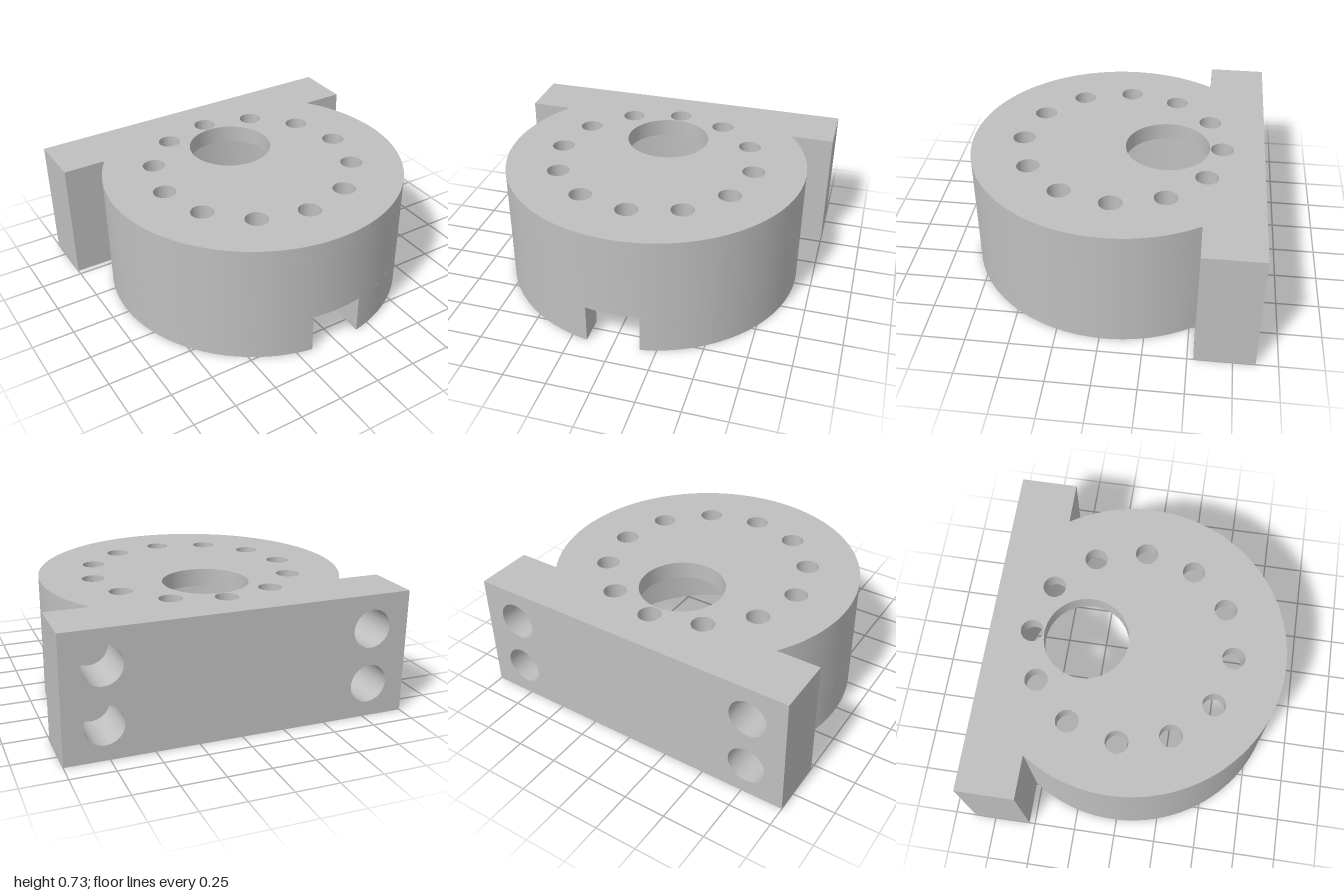
import * as THREE from 'three';
import { toCreasedNormals } from 'three/addons/utils/BufferGeometryUtils.js';

const HEIGHT = 0.73, CEILING = 0.625, SLOT_TOP = 0.235;
const CY = 0.03;                        // drum centre in plan (plan y = -z)
const R = 0.9, BORE = 0.735;            // outer and cavity radii
const BACK = 0.875, STEP = 0.535;       // mounting block, back and front in plan
const INNER = 0.6;                      // where the block ends start
const SLOT = 0.157;                     // half width of the front slot
const BOLT_DEPTH = 0.3;

const circle = (x, y, r) => new THREE.Path().absarc(x, y, r, 0, Math.PI * 2, false);

// Plan outline of the drum and middle of the block; slotted also cuts cavity and slot
function bodyOutline(slotted) {
  const a = Math.asin((STEP - CY) / R), down = -Math.PI / 2;
  const s = new THREE.Shape();
  s.moveTo(-INNER, STEP);
  s.lineTo(-INNER, BACK);
  s.lineTo(INNER, BACK);
  s.lineTo(INNER, STEP);
  s.lineTo(R * Math.cos(a), STEP);
  if (slotted) {
    const o = Math.asin(SLOT / R), i = Math.asin(SLOT / BORE);
    s.absarc(0, CY, R, a, down + o, true);
    s.absarc(0, CY, BORE, down + i, down - i + Math.PI * 2, false);
    s.absarc(0, CY, R, down - o, -Math.PI - a, true);
  } else {
    s.absarc(0, CY, R, a, -Math.PI - a, true);
  }
  s.closePath();
  return s;
}

const extrude = (shape, depth) => toCreasedNormals(
  new THREE.ExtrudeGeometry(shape, { depth, bevelEnabled: false, curveSegments: 48 }), 0.5);

export function createModel() {
  const group = new THREE.Group();
  const grey = new THREE.MeshStandardMaterial({ color: 0xbfbfbf });
  grey.name = 'grey metal';

  const add = (name, geometry) => {
    const mesh = new THREE.Mesh(geometry, grey);
    mesh.name = name;
    group.add(mesh);
    return mesh;
  };
  const layer = (name, shape, y0, y1) =>
    add(name, extrude(shape, y1 - y0).rotateX(-Math.PI / 2).translate(0, y0, 0));

  // Lower wall with the front slot, then the closed wall above it
  layer('slottedWall', bodyOutline(true), 0, SLOT_TOP);
  const wall = bodyOutline(false);
  wall.holes.push(circle(0, CY, BORE));
  layer('upperWall', wall, SLOT_TOP, CEILING);

  // Top plate with the offset opening and the ring of twelve holes
  const plate = bodyOutline(false);
  plate.holes.push(circle(0, 0.302, 0.25));
  for (let i = 0; i < 12; i++) {
    const t = i * Math.PI / 6;
    plate.holes.push(circle(0.595 * Math.cos(t), CY + 0.595 * Math.sin(t), 0.067));
  }
  layer('topPlate', plate, CEILING, HEIGHT);

  // Block ends with two blind bolt holes each, open to the back
  for (const side of [1, -1]) {
    const end = new THREE.Shape();
    end.moveTo(side * INNER, 0);
    end.lineTo(side, 0);
    end.lineTo(side, HEIGHT);
    end.lineTo(side * INNER, HEIGHT);
    end.closePath();
    for (const y of [0.2, 0.53]) end.holes.push(circle(side * 0.775, y, 0.112));
    const name = side > 0 ? 'left' : 'right';
    add(name + 'BlockEnd', extrude(end, BOLT_DEPTH).translate(0, 0, -BACK));
    const rest = BACK - STEP - BOLT_DEPTH;
    add(name + 'BlockFace', new THREE.BoxGeometry(1 - INNER, HEIGHT, rest))
      .position.set(side * (1 + INNER) / 2, HEIGHT / 2, -STEP - rest / 2);
  }
  return group;
}
